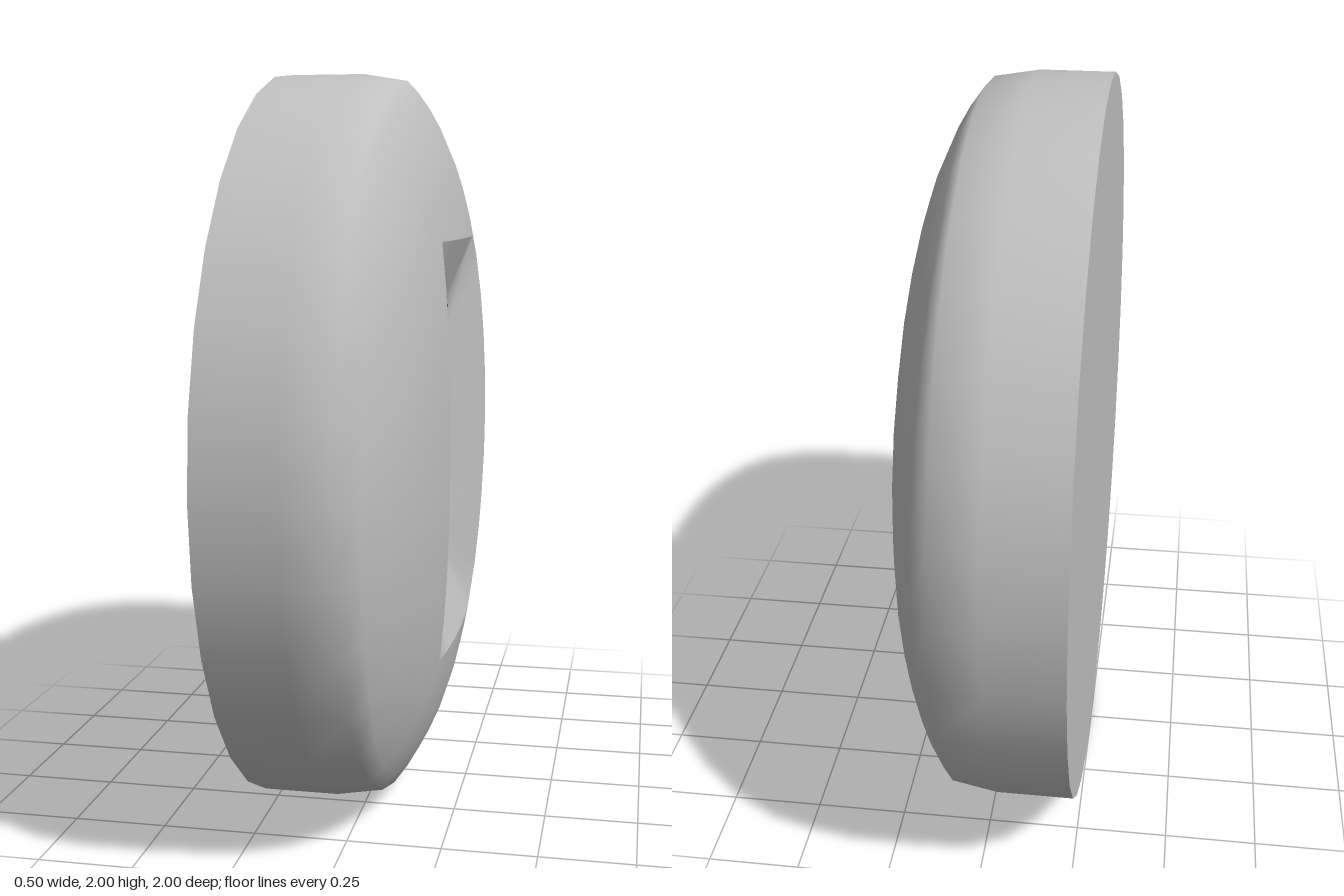
import * as THREE from 'three';

const SIDES = 32;
const CORNER = 5; // loop index of the opening's corner

const grey = new THREE.MeshStandardMaterial({ color: 0xc0c0c0 });
grey.name = 'light grey';
const black = new THREE.MeshStandardMaterial({ color: 0x0d0d0d });
black.name = 'black';

// Height of the domed face at distance r from the axis
const domeX = (r) => 0.265 - 0.1 * r ** 2 - 0.11 * r ** 6;

// Loops of [z, y] points, counted from +z towards +y
const loop = (fn) => Array.from({ length: SIDES }, (_, i) => fn(i));
const circle = (r) => loop((i) => {
  const a = (i / SIDES) * Math.PI * 2;
  return [r * Math.cos(a), r * Math.sin(a)];
});

// Upright rectangle whose long sides bow outwards
const opening = (midW, endW, h) => loop((i) => {
  const half = SIDES / 2;
  const k = ((i + CORNER) % half) - CORNER;
  const sign = i + CORNER >= half && i + CORNER < SIDES ? -1 : 1;
  if (k <= CORNER) {
    const t = k / CORNER;
    return [sign * (midW - (midW - endW) * t * t), sign * h * t];
  }
  const s = (k - CORNER) / (half - 2 * CORNER);
  return [sign * endW * (1 - 2 * s), sign * h];
});

const atX = (pts, x) => pts.map(([z, y]) => [x, y, z]);
const onDome = (pts) => pts.map(([z, y]) => [domeX(Math.hypot(z, y)), y, z]);
const mix = (a, b, t) => a.map((p, i) => p.map((v, k) => v + (b[i][k] - v) * t));

// Smooth skin through a series of loops
function loft(name, loops, material) {
  const index = [];
  for (let j = 0; j < loops.length - 1; j++) {
    for (let i = 0; i < SIDES; i++) {
      const n = (i + 1) % SIDES;
      const a = j * SIDES + i, b = j * SIDES + n;
      const c = b + SIDES, d = a + SIDES;
      index.push(a, d, c, a, c, b);
    }
  }
  const geo = new THREE.BufferGeometry();
  geo.setAttribute('position', new THREE.Float32BufferAttribute(loops.flat(2), 3));
  geo.setIndex(index);
  geo.computeVertexNormals();
  const mesh = new THREE.Mesh(geo, material);
  mesh.name = name;
  return mesh;
}

// Flat cap that fills a loop with a fan, facing +x or -x
function cap(name, pts, x, facing, material) {
  const shape = new THREE.Shape(pts.map(([z, y]) => new THREE.Vector2(-facing * z, y)));
  const mesh = new THREE.Mesh(new THREE.ShapeGeometry(shape), material);
  mesh.rotation.y = facing * Math.PI / 2;
  mesh.position.x = x;
  mesh.name = name;
  return mesh;
}

export function createModel() {
  const disc = new THREE.Group();
  disc.name = 'slottedDisc';
  disc.position.y = 1;

  const rim = opening(0.38, 0.32, 0.555);
  const slot = opening(0.195, 0.18, 0.38);
  const edge = circle(0.98);

  // Straight side wall running into the dome, down to the recess edge
  const dome = [0, 0.12, 0.25, 0.42, 0.6, 0.8, 1].map((t) => onDome(mix(edge, rim, t)));
  disc.add(loft('domedShell', [atX(circle(1), -0.25), atX(circle(1), -0.05), ...dome], grey));
  disc.add(cap('backFace', circle(1), -0.25, -1, grey));

  // Sloping recess around the slot
  disc.add(loft('recessBevel', [onDome(rim), atX(slot, 0.16)], grey));

  // Dark slot
  disc.add(loft('slotWalls', [atX(slot, 0.16), atX(slot, -0.03)], black));
  disc.add(cap('slotFloor', slot, -0.03, 1, black));

  const model = new THREE.Group();
  model.name = 'model';
  model.add(disc);
  return model;
}
